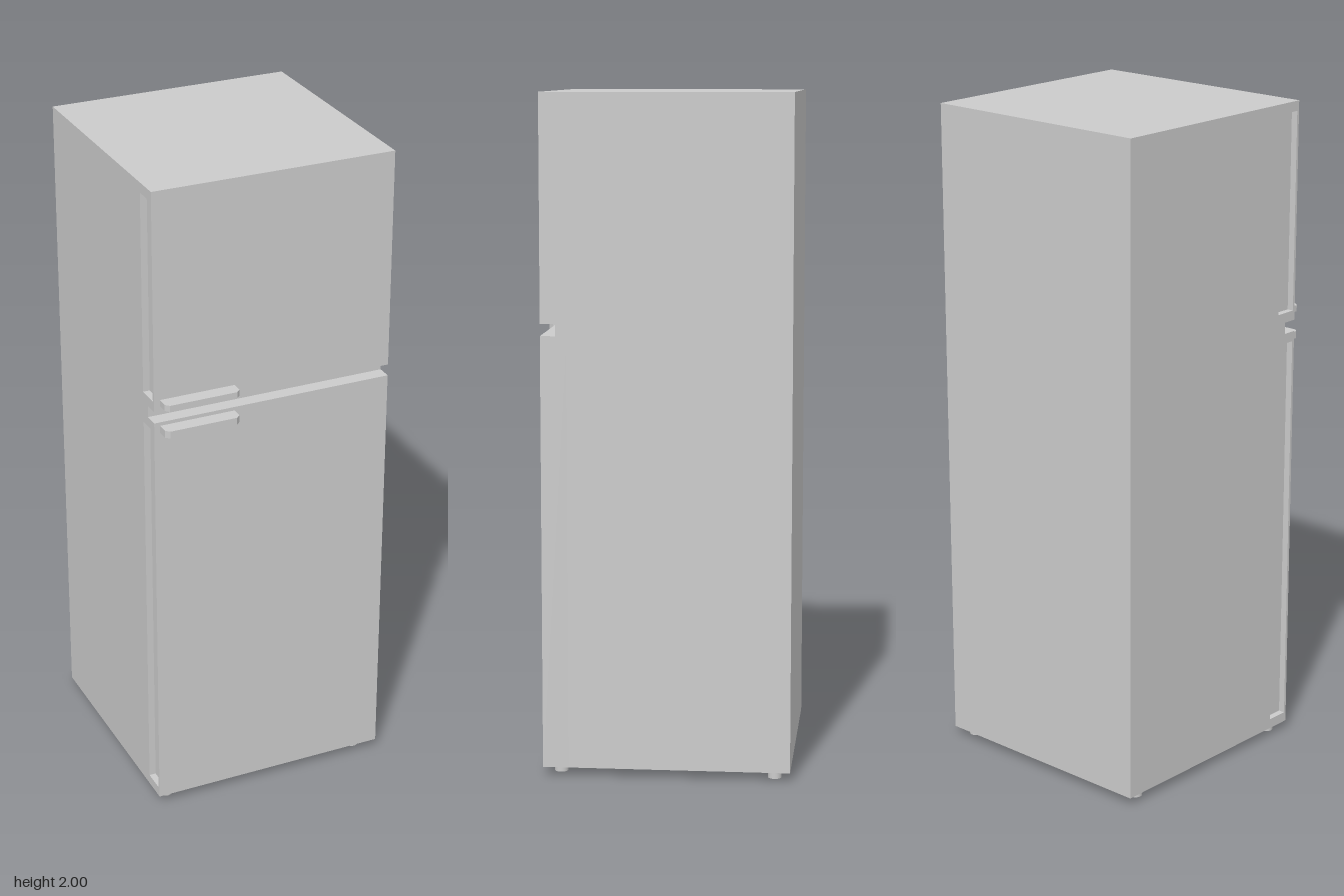
import * as THREE from 'three';

const material = new THREE.MeshStandardMaterial({ color: 0xcccccc });

export function createModel() {
  const model = new THREE.Group();

  const add = (name, geometry, parent = model) => {
    const mesh = new THREE.Mesh(geometry, material);
    mesh.name = name;
    parent.add(mesh);
    return mesh;
  };

  // Box given by its limits on each axis
  const box = (name, [x0, x1], [y0, y1], [z0, z1], parent) =>
    add(name, new THREE.BoxGeometry(x1 - x0, y1 - y0, z1 - z0), parent)
      .position.set((x0 + x1) / 2, (y0 + y1) / 2, (z0 + z1) / 2);

  const W = 0.37, seam = 0.265, front = 0.342;

  // Cabinet, and the bar set back between the two doors
  box('cabinet', [-W, W], [0.025, 2], [-0.387, seam]);
  box('dividerBar', [-W, W], [1.303, 1.338], [seam, 0.298]);

  // Door with a shallow recess along its handle-side edge
  const door = (name, y0, y1) => {
    const group = new THREE.Group();
    group.name = name;
    const inset = -W + 0.02, rim = 0.03;
    box('doorPanel', [inset, W], [y0, y1], [seam, front], group);
    box('frontLip', [-W, inset], [y0, y1], [front - 0.008, front], group);
    box('lowerLip', [-W, inset], [y0, y0 + rim], [seam, front - 0.008], group);
    box('upperLip', [-W, inset], [y1 - rim, y1], [seam, front - 0.008], group);
    model.add(group);
  };
  door('lowerDoor', 0.025, 1.303);
  door('upperDoor', 1.338, 2);

  // Flat bar handles with clipped front corners
  const x0 = -0.352, x1 = -0.122, tip = 0.387, clip = 0.012;
  const outline = new THREE.Shape([
    [x0, front], [x1, front], [x1, tip - clip],
    [x1 - clip, tip], [x0 + clip, tip], [x0, tip - clip],
  ].map(([x, z]) => new THREE.Vector2(x, z)));
  const handle = (name, y0, y1) => {
    const geometry = new THREE.ExtrudeGeometry(outline, { depth: y1 - y0, bevelEnabled: false });
    geometry.rotateX(Math.PI / 2);
    add(name, geometry).position.y = y1;
  };
  handle('upperHandle', 1.354, 1.373);
  handle('lowerHandle', 1.27, 1.292);

  // Four round feet
  const footGeometry = new THREE.CylinderGeometry(0.02, 0.02, 0.03, 20);
  for (const [x, z] of [[-0.33, 0.295], [0.31, 0.295], [-0.33, -0.32], [0.325, -0.34]]) {
    add('foot', footGeometry).position.set(x, 0.015, z);
  }

  return model;
}
